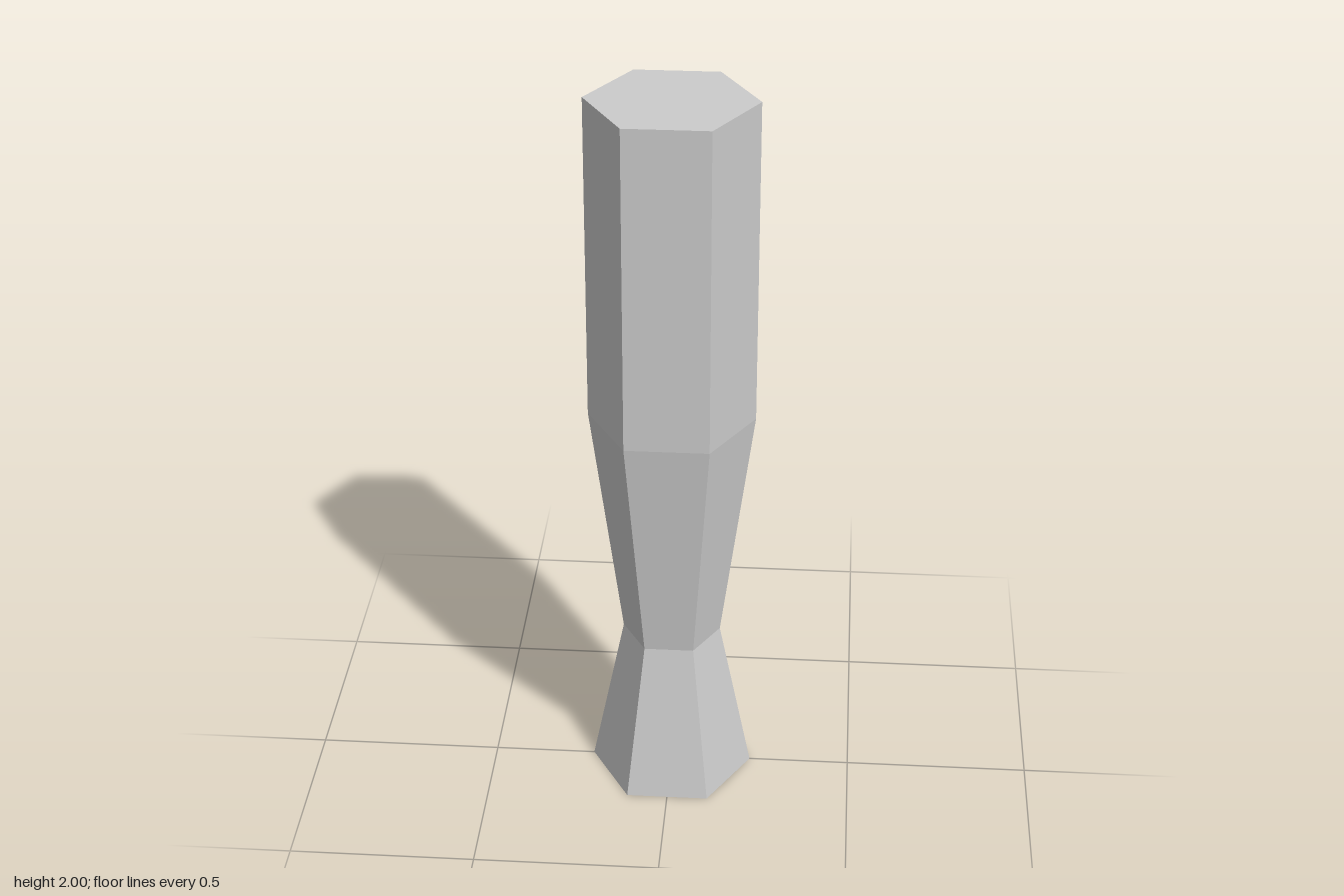
import * as THREE from 'three';

export function createModel() {
  const group = new THREE.Group();
  group.name = 'hexagonalPost';

  // Profile from base centre to top centre: flared foot, narrow waist, straight shaft
  const profile = [
    [0, 0],
    [0.222, 0],
    [0.133, 0.444],
    [0.222, 1.111],
    [0.222, 2],
    [0, 2],
  ].map(([r, y]) => new THREE.Vector2(r, y));

  // Six flat sides, with corners on the x axis
  const post = new THREE.Mesh(
    new THREE.LatheGeometry(profile, 6, Math.PI / 2),
    new THREE.MeshStandardMaterial({ color: 0xcccccc, flatShading: true })
  );
  post.name = 'post';
  group.add(post);

  return group;
}
